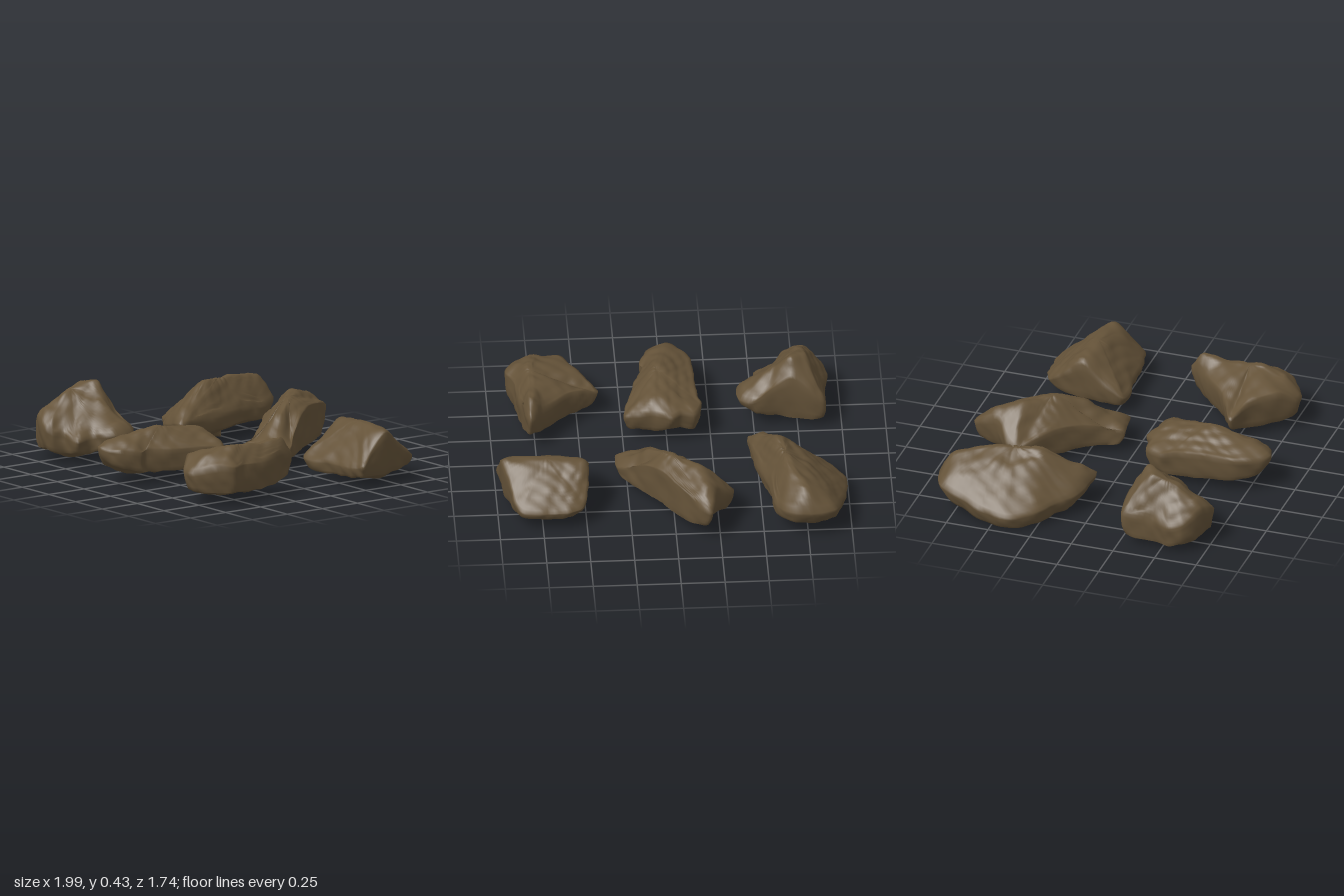
import * as THREE from 'three';
import { mergeVertices } from 'three/addons/utils/BufferGeometryUtils.js';

// Each rock: outline [x, z, low edge y, high edge y], crest and keel polylines [x, y, z]
const ROCKS = {
  backLeftRock: {
    outline: [[-.91, -.81, .11, .19], [-.78, -.87, .12, .2], [-.66, -.85, .12, .2], [-.57, -.74, .11, .18],
      [-.54, -.55, .11, .18], [-.49, -.35, .1, .18], [-.45, -.13, .1, .18], [-.45, -.04, .1, .18], [-.52, -.04, .09, .17],
      [-.67, -.08, .06, .14], [-.77, -.16, .04, .13], [-.9, -.24, .03, .12], [-.99, -.38, .02, .1],
      [-.98, -.55, .03, .12], [-.95, -.68, .07, .16]],
    crest: [[-.73, .33, -.77], [-.66, .36, -.6], [-.61, .37, -.32], [-.53, .25, -.12]],
    keel: [[-.78, .05, -.7], [-.83, .01, -.45], [-.65, .04, -.2]],
  },
  backMiddleRock: {
    outline: [[-.2, -.855, .12, .22], [-.13, -.82, .1, .25], [-.01, -.67, .08, .29], [.07, -.54, .08, .3],
      [.16, -.42, .07, .26], [.25, -.3, .07, .17], [.31, -.23, .07, .13], [.31, -.1, .07, .12], [.21, -.08, .07, .13],
      [.1, -.05, .06, .14], [.07, -.13, .06, .16], [-.01, -.25, .06, .2], [-.13, -.37, .06, .22],
      [-.25, -.47, .06, .2], [-.335, -.55, .07, .17], [-.32, -.62, .08, .2], [-.24, -.71, .1, .28]],
    crest: [[-.18, .33, -.71], [-.13, .365, -.6], [.03, .355, -.43], [.12, .3, -.3], [.2, .18, -.18]],
    keel: [[-.18, .06, -.66], [0, .04, -.4], [.2, .05, -.17]],
  },
  backRightRock: {
    outline: [[.48, -.2, .07, .13], [.475, -.32, .07, .21], [.48, -.44, .08, .3], [.49, -.56, .09, .22], [.52, -.65, .1, .15],
      [.6, -.69, .09, .14], [.73, -.7, .09, .14], [.86, -.68, .09, .14], [.91, -.63, .09, .17], [.94, -.52, .08, .25],
      [.98, -.41, .08, .32], [.985, -.31, .08, .23], [.99, -.24, .08, .15], [.9, -.22, .07, .13], [.7, -.205, .06, .13],
      [.58, -.19, .06, .12]],
    crest: [[.53, .33, -.44], [.72, .345, -.43], [.93, .335, -.42]],
    keel: [[.58, .04, -.42], [.88, .04, -.42]],
  },
  frontLeftRock: {
    outline: [[-.91, .28, .07, .19], [-.85, .26, .07, .24], [-.72, .29, .06, .34], [-.62, .3, .08, .28], [-.5, .28, .11, .2],
      [-.42, .34, .12, .18], [-.41, .46, .12, .18], [-.46, .52, .09, .18], [-.51, .56, .07, .17], [-.52, .65, .08, .15],
      [-.62, .67, .07, .18], [-.65, .73, .08, .19], [-.7, .75, .09, .22], [-.8, .72, .08, .26], [-.87, .68, .07, .23],
      [-.92, .63, .07, .19], [-.93, .55, .05, .17], [-.9, .45, .05, .18]],
    crest: [[-.78, .31, .66], [-.77, .38, .56], [-.78, .43, .42], [-.71, .445, .38], [-.62, .35, .41], [-.48, .24, .41]],
    keel: [[-.78, .015, .4], [-.68, .03, .58]],
  },
  frontMiddleRock: {
    outline: [[-.02, .12, .12, .22], [.08, .15, .1, .23], [.2, .17, .1, .21], [.245, .2, .1, .19], [.22, .32, .08, .2],
      [.17, .5, .08, .2], [.12, .64, .08, .21], [.13, .7, .09, .2], [.09, .8, .11, .22], [.04, .85, .13, .22],
      [-.03, .865, .14, .23], [-.1, .82, .11, .22], [-.16, .7, .09, .22], [-.17, .5, .07, .23], [-.18, .33, .07, .22],
      [-.2, .25, .08, .21], [-.16, .16, .09, .21], [-.08, .16, .1, .22]],
    crest: [[.05, .29, .25], [.04, .32, .5], [0, .28, .72]],
    keel: [[0, .06, .3], [-.02, .05, .65]],
  },
  frontRightRock: {
    outline: [[.78, .11, .12, .24], [.7, .2, .09, .24], [.55, .36, .08, .24], [.45, .43, .08, .21], [.38, .48, .09, .17],
      [.47, .56, .07, .24], [.58, .7, .07, .27], [.66, .79, .09, .2], [.75, .78, .09, .2], [.85, .69, .08, .24],
      [.9, .61, .09, .23], [.86, .5, .08, .23], [.84, .35, .07, .22], [.81, .2, .09, .24]],
    crest: [[.77, .335, .19], [.76, .32, .35], [.76, .335, .55], [.74, .3, .67]],
    keel: [[.7, .04, .35], [.7, .045, .58]],
  },
};

// Dense points along a crest or keel
const densify = (line) => line.slice(1).flatMap((end, i) => Array.from({ length: 9 }, (_, k) =>
  new THREE.Vector3(...line[i]).lerp(new THREE.Vector3(...end), k / 8)));
const flatDist = (a, b) => Math.hypot(a.x - b.x, a.z - b.z);
const nearest = (points, p) => Math.min(...points.map((q) => flatDist(p, q)));

// Height inside the outline, sloping from the edge to the crest or keel
function slopeHeight(p, edgeY, edge, line, power) {
  const inside = nearest(edge, p);
  const away = Math.max(0, nearest(line, p) - 0.015);
  const t = inside / (inside + away + 1e-6);
  let sum = 0, total = 0;
  for (const q of line) {
    const w = 1 / (flatDist(p, q) ** 2 + 1e-4) ** 2;
    sum += w * q.y;
    total += w;
  }
  return THREE.MathUtils.lerp(edgeY, sum / total, 1 - (1 - t) ** power);
}

// Chipped-stone relief: broad lumps with finer creases
function relief(p, seed) {
  const w = Math.sin(p.x * 9 + p.z * 7 + seed) * 0.7;
  const broad = Math.sin(p.x * 21 + w + seed) * Math.sin(p.y * 24 + w * 2) * Math.cos(p.z * 18 - w);
  const crease = Math.abs(Math.sin(p.x * 26 - p.z * 15 + p.y * 30 + w * 3 + seed)) - 0.6;
  const fine = Math.sin(p.x * 61 + w * 4) * Math.sin(p.z * 57 + p.y * 49 + seed);
  return broad * 0.006 + crease * 0.004 + fine * 0.0025;
}

function rockGeometry({ outline, crest, keel }, seed) {
  // Outline runs anticlockwise from above, so faces point outwards
  const area = outline.reduce((s, p, i) => {
    const q = outline[(i + 1) % outline.length];
    return s + p[0] * q[1] - q[0] * p[1];
  }, 0);
  const pts = area > 0 ? [...outline].reverse() : outline;
  const n = pts.length * 6, caps = 20, walls = 5, rings = caps * 2 + walls;
  const edge = (k) => {
    const curve = new THREE.CatmullRomCurve3(
      pts.map((p) => new THREE.Vector3(p[0], p[k], p[1])), true, 'catmullrom', 0.4);
    return Array.from({ length: n }, (_, i) => curve.getPoint(i / n));
  };
  const lows = edge(2), highs = edge(3);
  const crestLine = densify(crest), keelLine = densify(keel);
  const middle = highs.reduce((s, p) => s.addScaledVector(p, 1 / n), new THREE.Vector3());
  const top = crestLine.reduce((a, b) => (flatDist(b, middle) < flatDist(a, middle) ? b : a));
  const feet = lows.map((p) => p.clone().lerp(top, 0.08).setY(p.y));
  const pos = [], index = [];

  // Rings run from below the middle out to the low edge, up the wall, then in over the crest
  for (let j = 0; j <= rings; j++) {
    for (let i = 0; i < n; i++) {
      const foot = feet[i], high = highs[i];
      let p;
      if (j < caps) {
        p = foot.clone().lerp(top, 1 - j / caps);
        p.y = slopeHeight(p, foot.y, feet, keelLine, 1.4);
      } else if (j <= caps + walls) {
        const u = (j - caps) / walls;
        p = foot.clone().lerp(high, Math.sin(u * Math.PI / 2));
        p.y = THREE.MathUtils.lerp(foot.y, high.y, u);
      } else {
        p = high.clone().lerp(top, (j - caps - walls) / caps);
        p.y = slopeHeight(p, high.y, highs, crestLine, 1.25);
      }
      pos.push(p.x, p.y, p.z);
      if (j < rings) {
        const a = j * n + i, b = j * n + (i + 1) % n;
        index.push(a, b, a + n, b, b + n, a + n);
      }
    }
  }
  let geo = new THREE.BufferGeometry();
  geo.setAttribute('position', new THREE.Float32BufferAttribute(pos, 3));
  geo.setIndex(index);
  geo = mergeVertices(geo, 0.001);
  geo.computeVertexNormals();

  // Push vertices along their normals to roughen the stone
  const P = geo.attributes.position, N = geo.attributes.normal;
  const p = new THREE.Vector3(), d = new THREE.Vector3();
  for (let i = 0; i < P.count; i++) {
    p.fromBufferAttribute(P, i);
    d.fromBufferAttribute(N, i);
    p.addScaledVector(d, relief(p, seed));
    P.setXYZ(i, p.x, Math.max(p.y, 0), p.z);
  }
  geo.computeVertexNormals();
  return geo;
}

export function createModel() {
  const group = new THREE.Group();
  group.name = 'rocks';
  const stone = new THREE.MeshStandardMaterial({ color: 0x655339 });
  stone.name = 'brown stone';
  Object.entries(ROCKS).forEach(([name, rock], i) => {
    const mesh = new THREE.Mesh(rockGeometry(rock, i * 2.3 + 1), stone);
    mesh.name = name;
    group.add(mesh);
  });
  return group;
}
